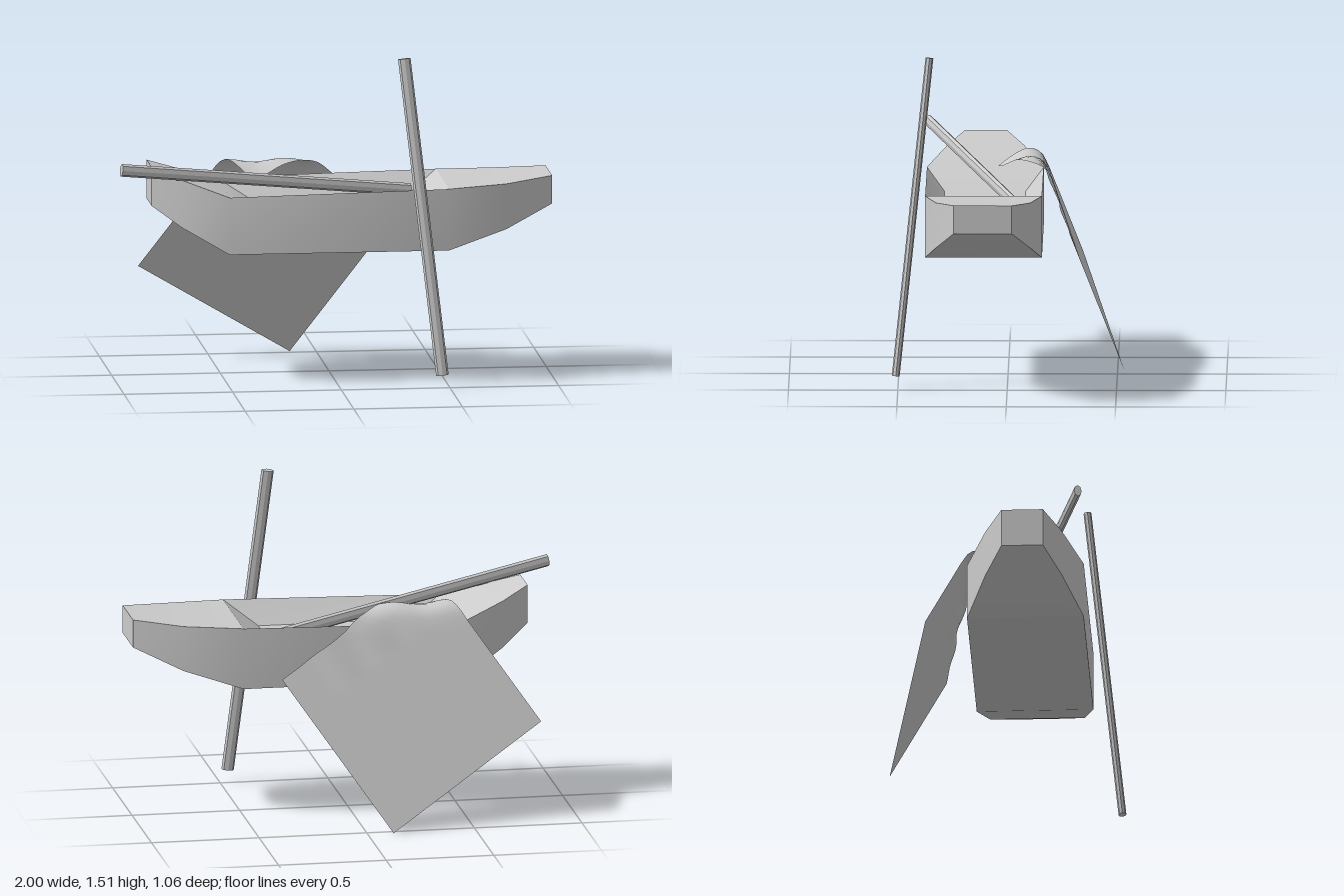
import * as THREE from 'three';
import { toCreasedNormals } from 'three/addons/utils/BufferGeometryUtils.js';

const V = (x, y, z) => new THREE.Vector3(x, y, z);
const grey = () => new THREE.MeshStandardMaterial({ color: 0xcccccc, side: THREE.DoubleSide });

// Boat: box-like cross-sections [x, top, bottom, half width] along the keel, with a sunken well
function makeBoat() {
  const zc = 0.108;
  const stations = [
    [-0.84, 1.0, 0.82, 0.095], [-0.71, 0.95, 0.73, 0.175], [-0.5, 0.88, 0.615, 0.267],
    [0.51, 0.9, 0.615, 0.267], [0.78, 0.91, 0.7, 0.217], [1.0, 0.93, 0.8, 0.133],
  ];
  const pos = [];
  const quad = (a, b, c, d) => { for (const p of [a, b, c, a, c, d]) pos.push(p.x, p.y, p.z); };
  // ring order seen from +x: top front, top back, bottom back, bottom front
  const rings = stations.map(([x, t, b, w]) => [
    V(x, t, zc + w), V(x, t, zc - w), V(x, b, zc - w), V(x, b, zc + w),
  ]);
  for (let i = 0; i < rings.length - 1; i++) {
    const p = rings[i], q = rings[i + 1];
    for (let k = 0; k < 4; k++) {
      if (k === 0 && i === 2) continue; // open well
      const n = (k + 1) % 4;
      quad(p[k], q[k], q[n], p[n]);
    }
  }
  const s = rings[0], e = rings[5];
  quad(s[0], s[1], s[2], s[3]);
  quad(e[3], e[2], e[1], e[0]);
  // well: rim slopes in to a flat floor
  const rim = [rings[2][0], rings[3][0], rings[3][1], rings[2][1]];
  const floor = [[-0.35, 0.185], [0.36, 0.185], [0.36, -0.185], [-0.35, -0.185]]
    .map(([x, z]) => V(x, 0.79, zc + z));
  for (let k = 0; k < 4; k++) quad(rim[k], rim[(k + 1) % 4], floor[(k + 1) % 4], floor[k]);
  quad(...floor);
  const g = new THREE.BufferGeometry();
  g.setAttribute('position', new THREE.Float32BufferAttribute(pos, 3));
  return new THREE.Mesh(toCreasedNormals(g, 0.5), grey());
}

// Flattened pole between two points, its broad side along `wide`
function makePole(from, to, wide) {
  const dir = to.clone().sub(from);
  const geo = new THREE.CylinderGeometry(1, 1, dir.length(), 8).scale(0.029, 1, 0.018);
  dir.normalize();
  const across = wide.clone().addScaledVector(dir, -wide.dot(dir)).normalize();
  const side = across.clone().cross(dir);
  geo.applyMatrix4(new THREE.Matrix4().makeBasis(across, dir, side));
  const mesh = new THREE.Mesh(toCreasedNormals(geo, 0.5), grey());
  mesh.position.copy(from).add(to).multiplyScalar(0.5);
  return mesh;
}

// Square cloth hanging flat, its upper corner folded over the gunwale
function makeCloth() {
  const corner = V(-0.84, 0.445, -0.335), e1 = V(0.72, -0.445, -0.195), e2 = V(0.475, 0.685, 0.24);
  const foldY = 0.88, reach = 0.27;
  const fold = new THREE.CatmullRomCurve3([
    V(0, 0, 0), V(0, 0.065, 0.035), V(0, 0.088, 0.09), V(0, 0.07, 0.16), V(0, 0.03, 0.235),
  ]);
  const geo = new THREE.PlaneGeometry(1, 1, 28, 28);
  const a = geo.attributes.position;
  for (let i = 0; i < a.count; i++) {
    const u = a.getX(i) + 0.5, v = a.getY(i) + 0.5;
    const p = corner.clone().addScaledVector(e1, u).addScaledVector(e2, v);
    if (p.y > foldY) {
      const s = ((p.y - foldY) / 0.935) * (1 + 0.9 * u * v);
      const over = p.y - foldY;
      const f = fold.getPointAt(Math.min(1, s / reach));
      const ripple = 0.008 * Math.sin(p.x * 24) * Math.min(1, s / 0.1);
      p.z += -over * 0.36 + f.z;
      p.y = foldY + f.y + ripple;
    }
    // slight waviness along the upper right edge
    p.z += 0.008 * Math.sin(u * 26) * Math.max(0, v - 0.75) * 4 * u * (1 - u) * 4;
    a.setXYZ(i, p.x, p.y, p.z);
  }
  geo.computeVertexNormals();
  return new THREE.Mesh(geo, grey());
}

export function createModel() {
  const model = new THREE.Group();
  const add = (name, mesh) => { mesh.name = name; model.add(mesh); };
  add('boatHull', makeBoat());
  add('restingOar', makePole(V(-0.997, 1.017, 0.37), V(0.378, 0.825, -0.055), V(0, 1, 0)));
  add('leaningOar', makePole(V(0.464, 0.06, 0.51), V(0.306, 1.507, 0.357), V(1, 0, 0)));
  add('drapedCloth', makeCloth());
  return model;
}
